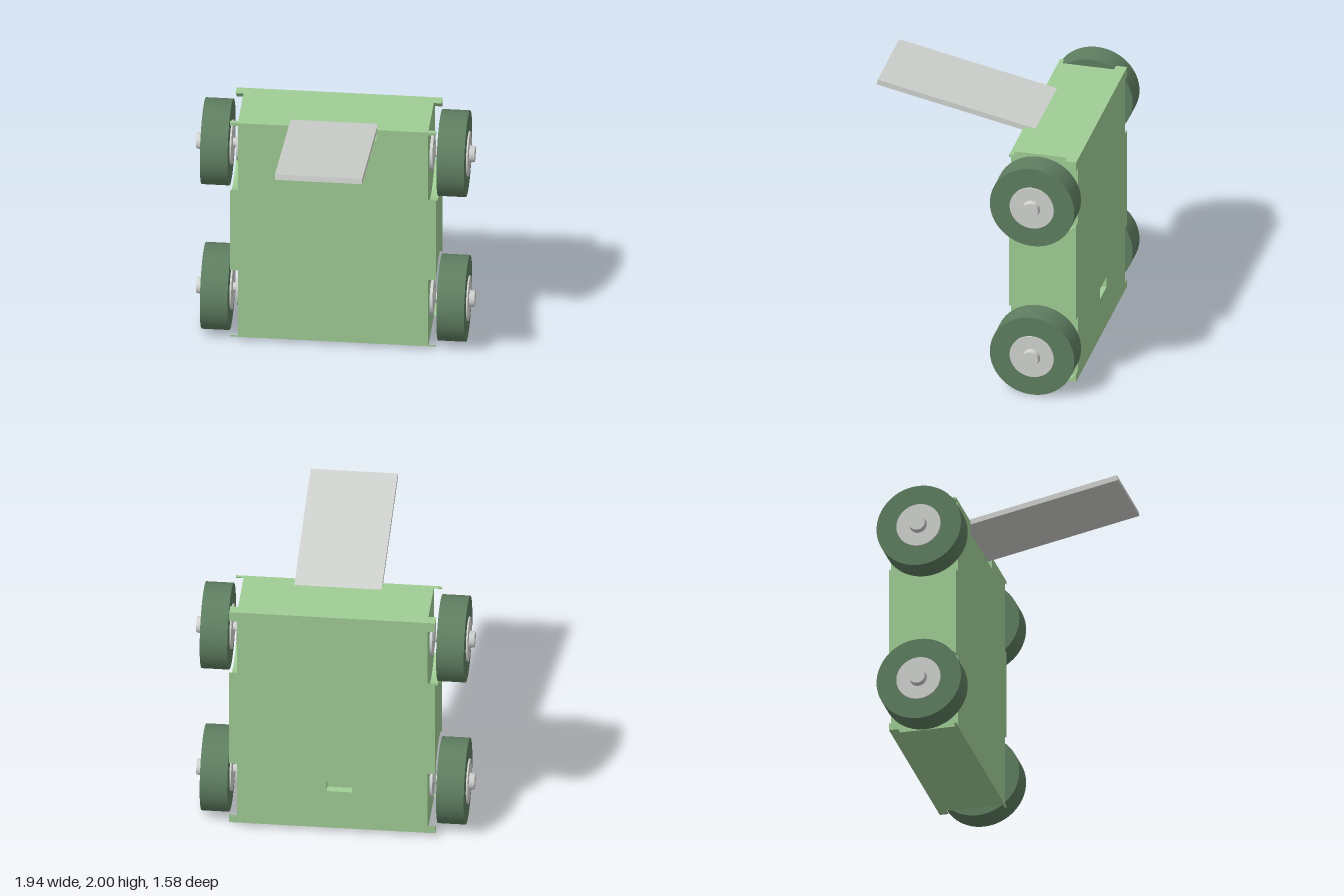
import * as THREE from 'three';

const mat = (name, color, extra) => Object.assign(new THREE.MeshStandardMaterial({ color }), { name });
const green = mat('bodyGreen', 0x9fcc94);
const dark = mat('tyreGreen', 0x5f7e61);
const grey = mat('lightGrey', 0xd0d2cf);

// Body limits; profiles are drawn in (u, y) with u = -z
const U0 = 0.265, U1 = 0.745, Y0 = 0.03, Y1 = 1.765;
const CORE = 0.665, SIDE = 0.72;
const AXLE_U = 0.48, AXLES = [0.305, 1.48], ARCH = 0.34;

// Extrude a (u, y) profile along x from x0 to x1
function slab(name, points, x0, x1, material) {
  const shape = new THREE.Shape(points.map(([u, y]) => new THREE.Vector2(u, y)));
  const geo = new THREE.ExtrudeGeometry(shape, { depth: x1 - x0, bevelEnabled: false });
  geo.rotateY(Math.PI / 2).translate(x0, 0, 0);
  const mesh = new THREE.Mesh(geo, material);
  mesh.name = name;
  return mesh;
}

// Points along a wheel arch
function arc(yc, a0, a1, n = 20) {
  return Array.from({ length: n + 1 }, (_, i) => {
    const a = a0 + (a1 - a0) * i / n;
    return [AXLE_U + ARCH * Math.cos(a), yc + ARCH * Math.sin(a)];
  });
}

// Side layer pieces: a middle panel and four corners around the arches
function sidePieces() {
  const aBack = Math.acos((U1 - AXLE_U) / ARCH);
  const aFront = Math.PI - Math.acos((AXLE_U - U0) / ARCH);
  const pieces = [[...arc(AXLES[0], aBack, aFront), ...arc(AXLES[1], -aFront, -aBack)]];
  for (const [s, yc, edge] of [[-1, AXLES[0], Y0], [1, AXLES[1], Y1]]) {
    const t = Math.asin(Math.abs(edge - yc) / ARCH);
    pieces.push([...arc(yc, s * aBack, s * t, 6), [U1, edge]]);
    pieces.push([...arc(yc, s * aFront, s * (Math.PI - t), 6), [U0, edge]]);
  }
  return pieces;
}

function makeBody() {
  const body = new THREE.Group();
  body.name = 'body';
  const back = [[U1, Y1], [U1, Y0]];
  const pocket = [[U1, Y1], [U1, 0.41], [U1 - 0.06, 0.41], [U1 - 0.06, 0.33], [U1, 0.33], [U1, Y0]];
  const plainFront = [[U0, Y0], [U0, Y1]];
  // Front slot that receives the ramp
  const slotFront = [[U0, Y0], [U0, 1.675], [0.58, 1.675], [0.58, 1.715], [0.35, Y1]];
  const sections = [
    [-CORE, -0.305, plainFront, back],
    [-0.305, -0.14, slotFront, back],
    [-0.14, 0.04, slotFront, pocket],
    [0.04, 0.305, slotFront, back],
    [0.305, CORE, plainFront, back],
  ];
  for (const [x0, x1, front, rear] of sections) {
    body.add(slab('bodySection', [...front, ...rear], x0, x1, green));
  }
  for (const piece of sidePieces()) {
    body.add(slab('leftSidePanel', piece, CORE, SIDE, green));
    body.add(slab('rightSidePanel', piece, -SIDE, -CORE, green));
  }
  return body;
}

// Disc or cone around the x axis; rIn is the radius at x0, rOut at x1
function disc(name, rIn, rOut, x0, x1, material, sides = 64) {
  const geo = new THREE.CylinderGeometry(rOut, rIn, x1 - x0, sides);
  geo.rotateZ(-Math.PI / 2).translate((x0 + x1) / 2, 0, 0);
  const mesh = new THREE.Mesh(geo, material);
  mesh.name = name;
  return mesh;
}

function makeWheel() {
  const wheel = new THREE.Group();
  wheel.add(
    disc('tyre', 0.303, 0.303, 0.73, 0.923, dark),
    disc('hub', 0.158, 0.158, 0.718, 0.934, grey),
    disc('axleCap', 0.062, 0.055, 0.934, 0.972, grey, 32),
    disc('axle', 0.032, 0.032, 0.68, 0.72, grey, 32),
    disc('axleCone', 0.06, 0.032, 0.685, 0.7, grey, 32),
    disc('mountFlange', 0.128, 0.128, 0.66, 0.685, grey, 48),
  );
  return wheel;
}

export function createModel() {
  const model = new THREE.Group();
  model.name = 'wheeledRobot';
  model.add(makeBody());

  // Four wheels
  AXLES.forEach((y, i) => {
    for (const side of [1, -1]) {
      const wheel = makeWheel();
      wheel.name = (i ? 'upper' : 'lower') + (side > 0 ? 'Left' : 'Right') + 'Wheel';
      wheel.position.set(0, y, -AXLE_U);
      if (side < 0) wheel.rotation.y = Math.PI;
      model.add(wheel);
    }
  });

  // Sloping ramp plate, sunk into the front slot
  const ramp = [[-0.785, 2.0], [0.58, 1.715], [0.572, 1.677], [-0.793, 1.962]]
    .map(([u, y], i) => [i < 2 ? u : u + 0.008 - 0.008, y]);
  model.add(slab('ramp', ramp, -0.305, 0.305, grey));
  return model;
}
